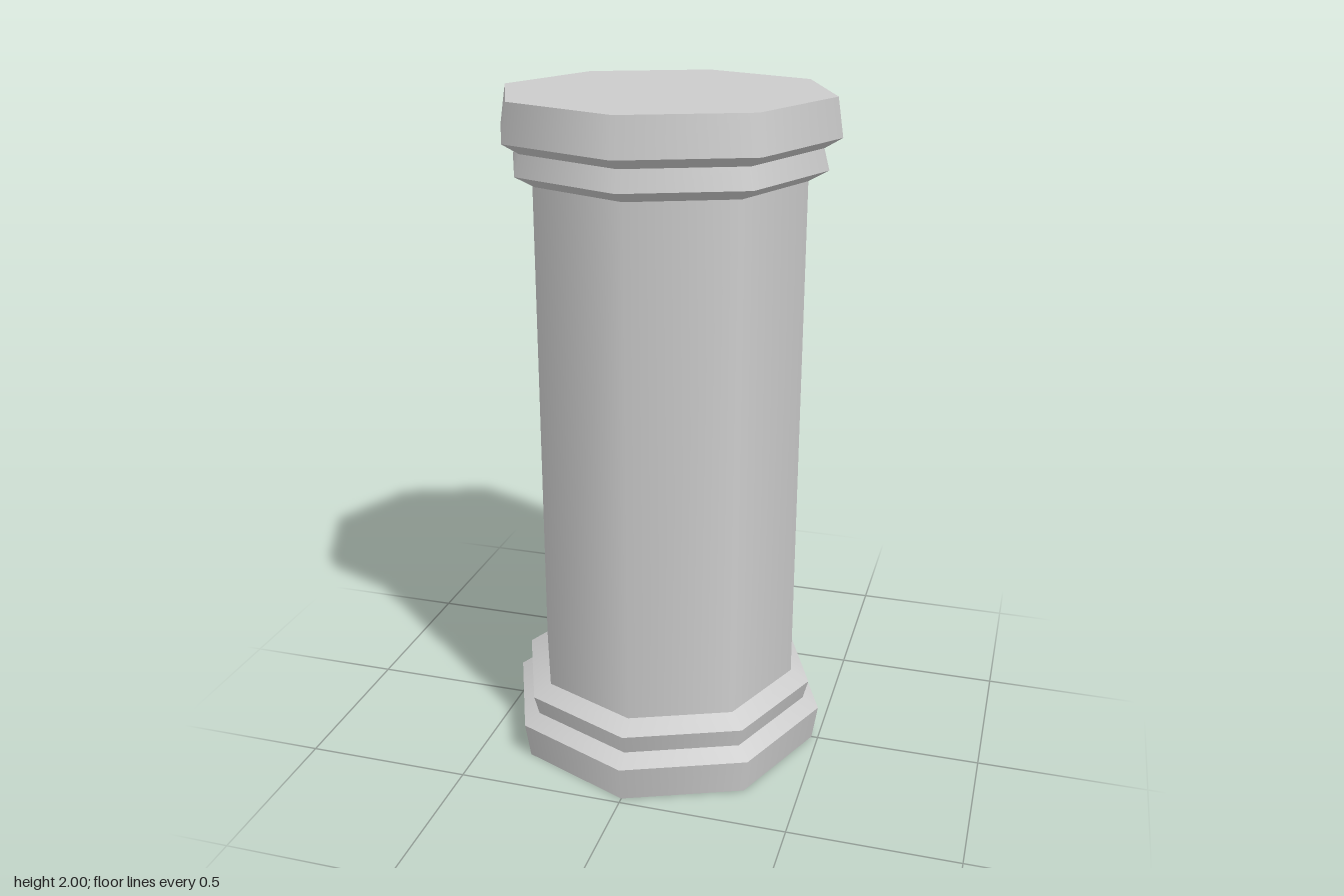
import * as THREE from 'three';

const SIDES = 8;
const HEIGHT = 2;
const material = new THREE.MeshStandardMaterial({ color: 0xcccccc });

// One eight-sided ring, smooth around and sharp at its rims
function band(name, [r0, y0], [r1, y1]) {
  const mesh = new THREE.Mesh(new THREE.CylinderGeometry(r1, r0, y1 - y0, SIDES, 1, true), material);
  mesh.position.y = (y0 + y1) / 2;
  mesh.name = name;
  return mesh;
}

// Flat octagon closing an end
function endFace(name, radius, y, up) {
  const geometry = new THREE.CircleGeometry(radius, SIDES);
  geometry.rotateX(up ? -Math.PI / 2 : Math.PI / 2);
  const mesh = new THREE.Mesh(geometry, material);
  mesh.position.y = y;
  mesh.name = name;
  return mesh;
}

export function createModel() {
  const model = new THREE.Group();
  model.name = 'column';

  // Moulding profile from the outer end towards the shaft: [radius, distance from end]
  const profile = [[0.48, 0], [0.497, 0.109], [0.447, 0.139], [0.463, 0.199], [0.406, 0.231]];
  const names = ['OuterBand', 'OuterLedge', 'InnerBand', 'InnerLedge'];

  const base = new THREE.Group();
  base.name = 'base';
  const capital = new THREE.Group();
  capital.name = 'capital';

  // Base steps and their mirror image in the capital
  names.forEach((name, i) => {
    const [a, b] = [profile[i], profile[i + 1]];
    base.add(band('base' + name, a, b));
    capital.add(band('capital' + name, [b[0], HEIGHT - b[1]], [a[0], HEIGHT - a[1]]));
  });
  base.add(endFace('baseUnderside', profile[0][0], 0, false));
  capital.add(endFace('capitalTop', profile[0][0], HEIGHT, true));

  // Straight shaft between the two mouldings
  const [radius, inset] = profile[profile.length - 1];
  model.add(base, band('shaft', [radius, inset], [radius, HEIGHT - inset]), capital);
  return model;
}
